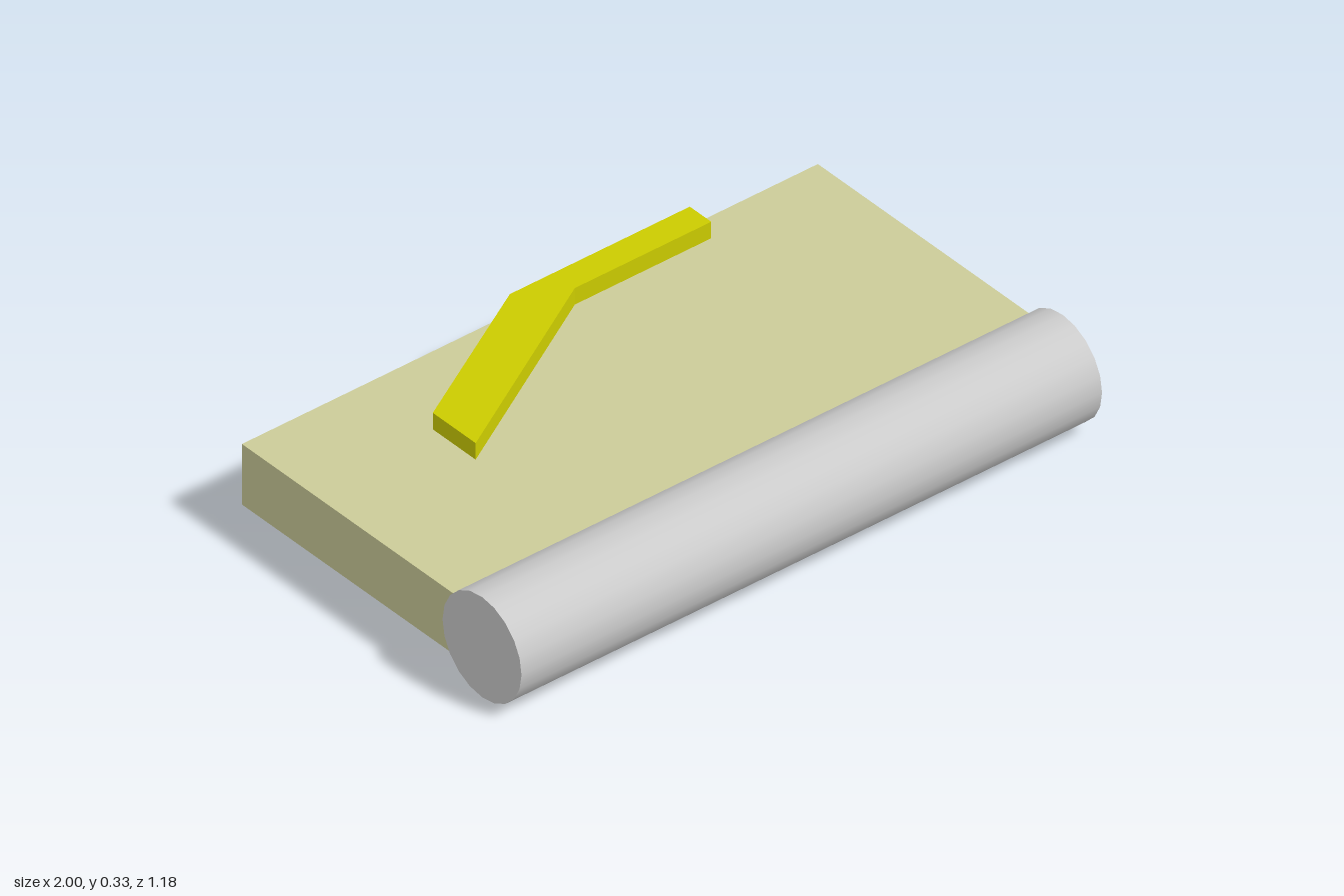
import * as THREE from 'three';

function part(name, geometry, color, parent) {
  const mesh = new THREE.Mesh(geometry, new THREE.MeshStandardMaterial({ color }));
  mesh.name = name;
  parent.add(mesh);
  return mesh;
}

export function createModel() {
  const model = new THREE.Group();
  model.name = 'model';

  // Round bar along the front edge, 20 sided with smooth walls
  const barGeometry = new THREE.CylinderGeometry(0.164, 0.164, 2, 20);
  barGeometry.rotateZ(Math.PI / 2);
  part('frontBar', barGeometry, 0xcccccc, model).position.set(0, 0.165, 0.427);

  // Flat slab, its front edge buried in the bar
  const front = 0.427, back = -0.58;
  part('slab', new THREE.BoxGeometry(1.984, 0.198, front - back), 0xcccc99, model)
    .position.set(0, 0.166, (front + back) / 2);

  // Bent strip let into the top and back of the slab, outlined as [x, z]
  const outline = [
    [-0.56, -0.13], [0.09, -0.502], [0.56, -0.502],
    [0.56, -0.591], [-0.06, -0.591], [-0.56, -0.308],
  ].map(([x, z]) => new THREE.Vector2(x, -z));
  const stripGeometry = new THREE.ExtrudeGeometry(new THREE.Shape(outline), {
    depth: 0.232, bevelEnabled: false,
  });
  stripGeometry.rotateX(-Math.PI / 2);
  part('bentStrip', stripGeometry, 0xcccc00, model).position.y = 0.087;

  return model;
}
